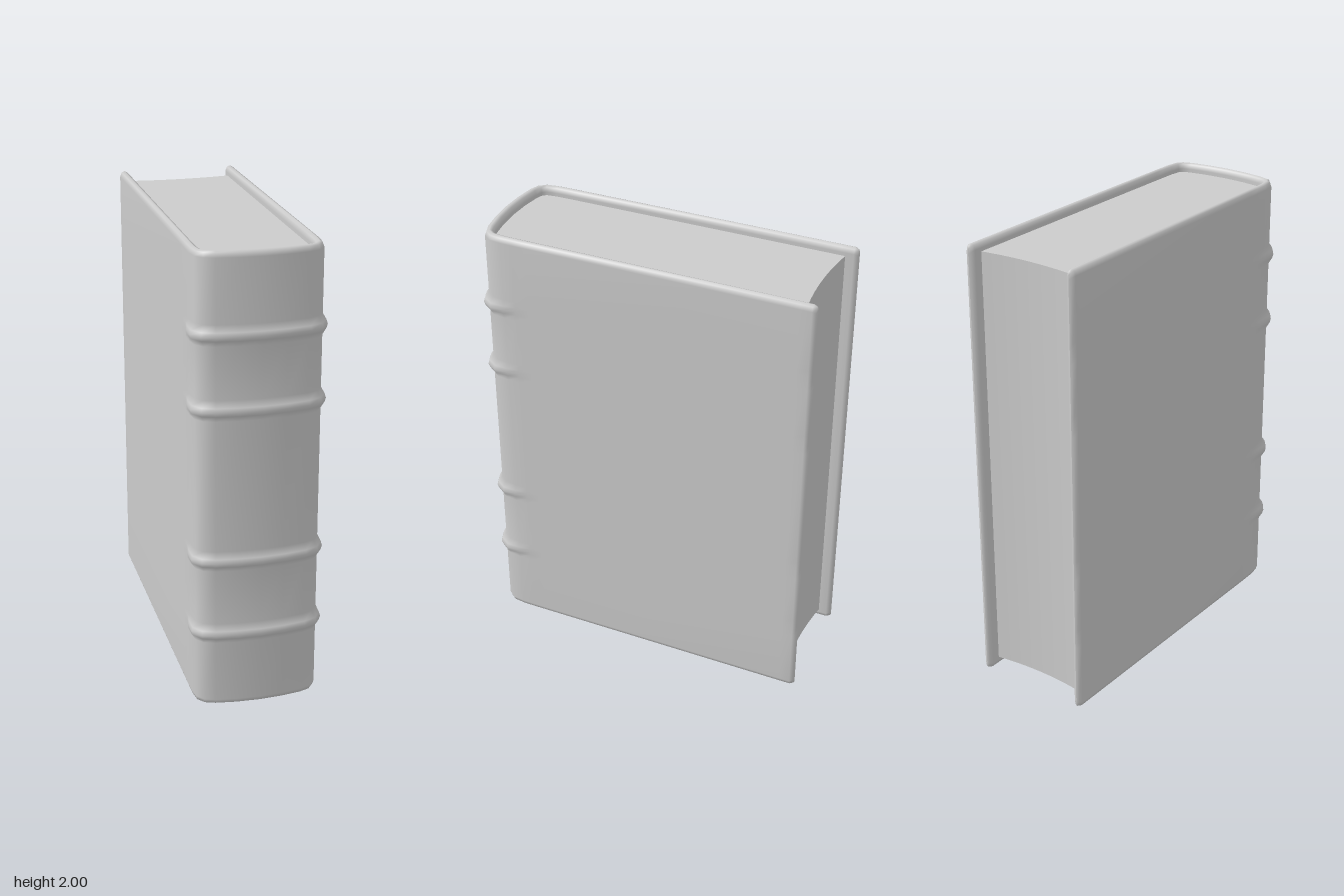
import * as THREE from 'three';
import { toCreasedNormals } from 'three/addons/utils/BufferGeometryUtils.js';

const material = new THREE.MeshStandardMaterial({ color: 0xcccccc });
const THICK = 0.04, HEIGHT = 2;

// Half of the outer U outline, from the fore edge to the spine middle:
// x, z, height of the raised bands, how far the rounded rim is open (0 = closed edge)
const half = [
  [0.273, -0.77, 0, 0], [0.273, -0.765, 0, 0.6], [0.273, -0.75, 0, 1], [0.273, -0.7, 0, 1],
  [0.273, 0.5, 0, 1], [0.273, 0.565, 0, 1], [0.272, 0.62, 0.011, 1], [0.264, 0.675, 0.021, 1],
  [0.236, 0.71, 0.025, 1], [0.19, 0.727, 0.025, 1], [0.1, 0.74, 0.025, 1], [0, 0.745, 0.025, 1],
];
const outline = [...half, ...half.slice(0, -1).reverse().map(([x, z, b, o]) => [-x, z, b, o])];

// Closed cross-section of the cover: depth below the outer face, y, band strength
function coverSection() {
  const rows = [[0.007, 0.006, 0], [0, 0.025, 0]];
  for (const y of [0.345, 0.68, 1.345, 1.66]) {
    rows.push([0, y - 0.045, 0], [0, y - 0.018, 0.75], [0, y, 1], [0, y + 0.018, 0.75], [0, y + 0.045, 0]);
  }
  rows.push([0, HEIGHT - 0.025, 0], [0.007, HEIGHT - 0.006, 0], [THICK / 2, HEIGHT, 0]);
  rows.push([THICK - 0.007, HEIGHT - 0.006, 0], [THICK, HEIGHT - 0.025, 0]);
  rows.push([THICK, 0.025, 0], [THICK - 0.007, 0.006, 0], [THICK / 2, 0, 0]);
  return rows;
}

// Sweep the section along the U outline
function coverGeometry() {
  const rows = coverSection(), n = rows.length, positions = [], index = [];
  outline.forEach(([x, z, band, open], i) => {
    const a = outline[Math.max(i - 1, 0)], b = outline[Math.min(i + 1, outline.length - 1)];
    const tx = b[0] - a[0], tz = b[1] - a[1], len = Math.hypot(tx, tz);
    for (const [depth, y, strength] of rows) {
      const d = THICK / 2 + (depth - THICK / 2) * open;
      const out = band * strength - d;
      const squeeze = 1 - 0.015 * (1 - open);
      positions.push(x + (tz / len) * out, 1 + (y - 1) * squeeze, z - (tx / len) * out);
    }
  });
  for (let i = 0; i < outline.length - 1; i++) {
    for (let j = 0; j < n; j++) {
      const k = (j + 1) % n;
      const p = i * n + j, q = i * n + k, r = p + n, s = q + n;
      index.push(p, q, r, q, s, r);
    }
  }
  const g = new THREE.BufferGeometry();
  g.setAttribute('position', new THREE.Float32BufferAttribute(positions, 3));
  g.setIndex(index);
  g.computeVertexNormals();
  return g;
}

// Page block: rounded towards the spine, hollow along the fore edge
function pagesGeometry() {
  const inset = 0.04, s = new THREE.Shape();
  s.moveTo(-0.24, 0.715);
  s.quadraticCurveTo(0, 0.675, 0.24, 0.715);
  s.lineTo(0.24, -0.62);
  s.quadraticCurveTo(0.235, -0.685, 0.17, -0.695);
  s.quadraticCurveTo(0, -0.72, -0.17, -0.695);
  s.quadraticCurveTo(-0.235, -0.685, -0.24, -0.62);
  s.closePath();
  const g = new THREE.ExtrudeGeometry(s, { depth: HEIGHT - 2 * inset, bevelEnabled: false, curveSegments: 10 });
  g.rotateX(-Math.PI / 2).translate(0, inset, 0);
  return toCreasedNormals(g, 0.5);
}

export function createModel() {
  const book = new THREE.Group();
  book.name = 'book';
  const cover = new THREE.Mesh(coverGeometry(), material);
  cover.name = 'cover';
  const pages = new THREE.Mesh(pagesGeometry(), material);
  pages.name = 'pageBlock';
  book.add(cover, pages);
  return book;
}
